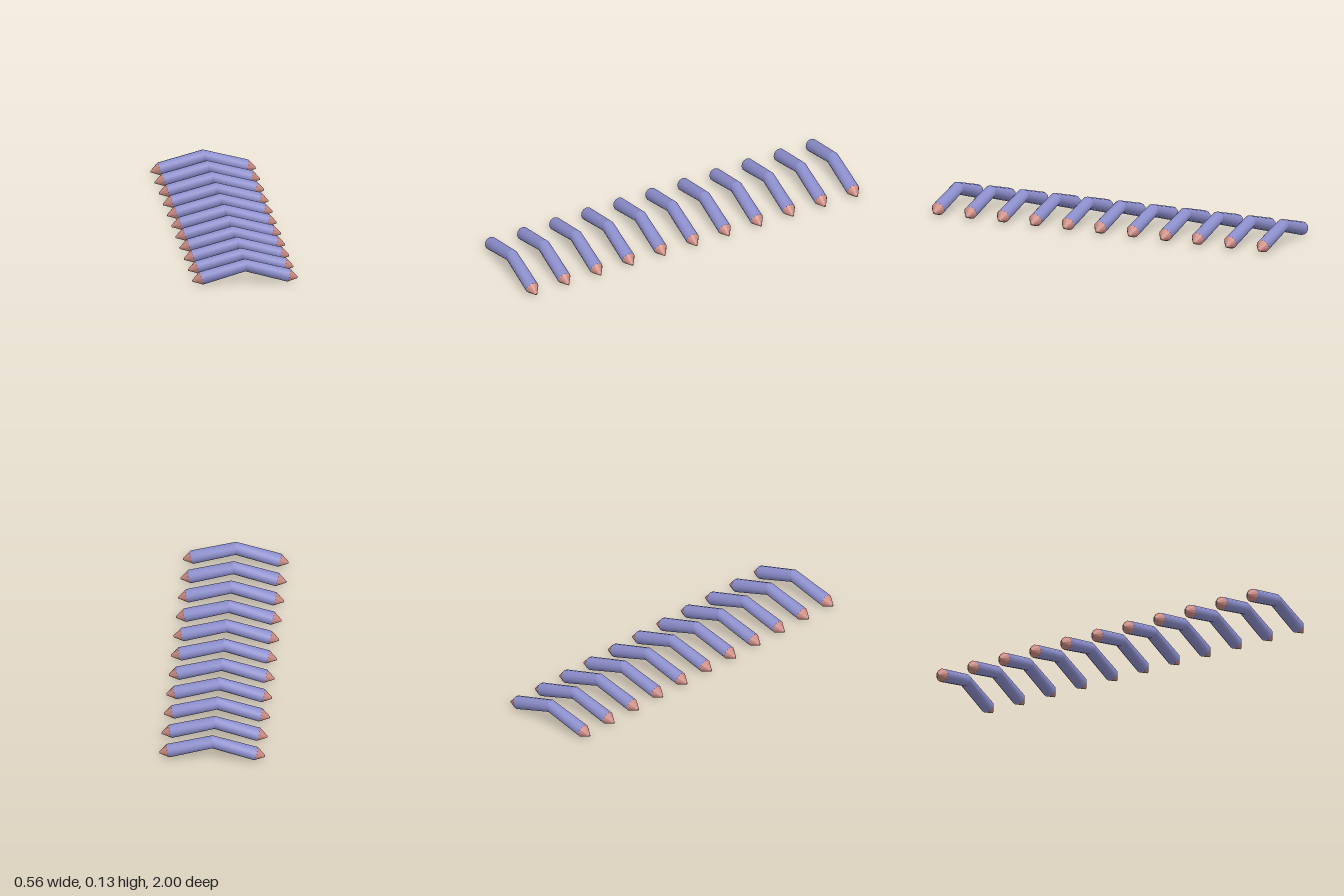
import * as THREE from 'three';
import { mergeVertices } from 'three/addons/utils/BufferGeometryUtils.js';

const SIDES = 12;
const COUNT = 11;
const SPAN = 0.964; // z of the outermost rods
const TILT = 0.272; // downward slope of each arm, radians

// Cross-sections along one arm: centre x, centre y, radius, lean
const MIDDLE = { x: 0, y: 0.1, r: 0.0345, lean: 0 };
const SHOULDER = { x: 0.233, y: 0.0352, r: 0.0362, lean: TILT };
const POINT = { x: 0.281, y: 0.022, r: 0.0045, lean: 0 };
const POINT_END = { ...POINT, r: 0 };

// Smooth or faceted skin through a list of cross-sections
function loft(rings) {
  const geo = new THREE.CylinderGeometry(1, 1, 1, SIDES, rings.length - 1, true);
  const pos = geo.attributes.position;
  for (let i = 0; i < pos.count; i++) {
    const ring = rings[Math.round((pos.getY(i) + 0.5) * (rings.length - 1))];
    const up = -pos.getX(i) * ring.r;
    const side = pos.getZ(i) * ring.r;
    pos.setXYZ(i, ring.x + up * Math.sin(ring.lean), ring.y + up * Math.cos(ring.lean), side);
  }
  geo.deleteAttribute('uv');
  geo.deleteAttribute('normal');
  const welded = mergeVertices(geo, 1e-5);
  welded.computeVertexNormals();
  return welded;
}

export function createModel() {
  const model = new THREE.Group();
  model.name = 'bentRodRow';

  const bodyMaterial = new THREE.MeshStandardMaterial({ color: 0x8c8ecc });
  const tipMaterial = new THREE.MeshStandardMaterial({ color: 0xcc8c84, flatShading: true });
  const armGeometry = loft([MIDDLE, SHOULDER]);
  const tipGeometry = loft([SHOULDER, POINT, POINT_END]);

  for (let i = 0; i < COUNT; i++) {
    const rod = new THREE.Group();
    rod.name = `rod${i + 1}`;
    rod.position.z = SPAN - (2 * SPAN * i) / (COUNT - 1);

    // Two matching arms meet at the raised bend
    for (const side of ['left', 'right']) {
      const half = new THREE.Group();
      half.name = `${side}Half`;
      half.rotation.y = side === 'left' ? 0 : Math.PI;
      const arm = new THREE.Mesh(armGeometry, bodyMaterial);
      arm.name = `${side}Arm`;
      const tip = new THREE.Mesh(tipGeometry, tipMaterial);
      tip.name = `${side}Tip`;
      half.add(arm, tip);
      rod.add(half);
    }
    model.add(rod);
  }
  return model;
}
